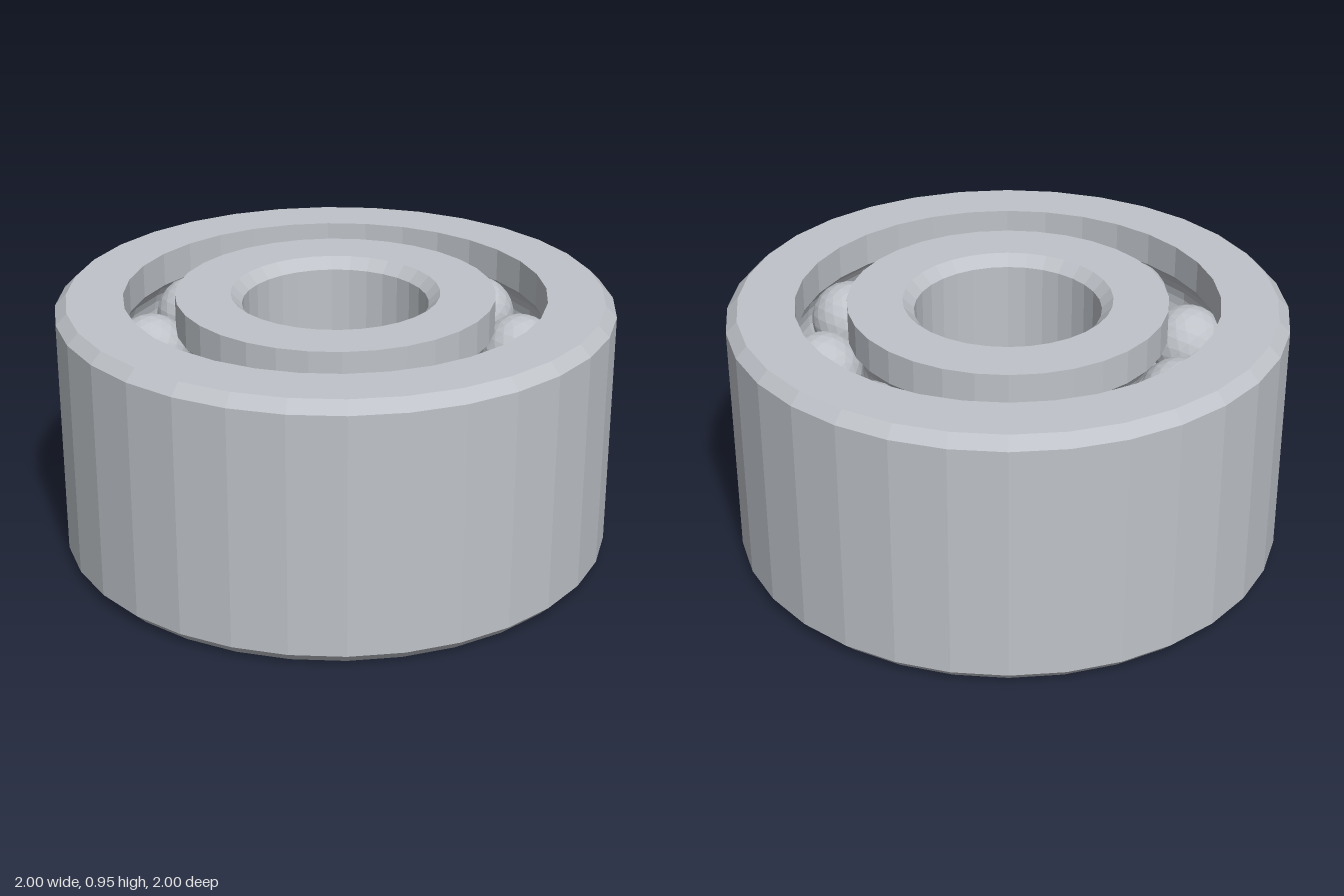
import * as THREE from 'three';

const HEIGHT = 0.95, CHAMFER = 0.04, SIDES = 32;
const BALL_R = 0.14, PITCH_R = 0.665, BALLS = 10;
const ROWS = [0.235, 0.715]; // heights of the two ball rows

// Faceted look: every face gets its own normal
function faceted(geometry) {
  const g = geometry.index ? geometry.toNonIndexed() : geometry;
  g.computeVertexNormals();
  return g;
}

// Raceway wall at radius r, bottom to top, with a round groove at each ball row
function raceway(r) {
  const side = Math.sign(r - PITCH_R);
  const grooveR = BALL_R + 0.004;
  const half = Math.acos(Math.abs(r - PITCH_R) / grooveR);
  const points = [[r, 0]];
  for (const y of ROWS) {
    for (let i = 0; i <= 8; i++) {
      const a = -half + (2 * half * i) / 8;
      points.push([PITCH_R + side * grooveR * Math.cos(a), y + grooveR * Math.sin(a)]);
    }
  }
  points.push([r, HEIGHT]);
  return points;
}

// Closed profile, counter-clockwise, turned around the axis
function turned(name, profile, material) {
  const points = [...profile, profile[0]].map(([r, y]) => new THREE.Vector2(r, y));
  const mesh = new THREE.Mesh(faceted(new THREE.LatheGeometry(points, SIDES)), material);
  mesh.name = name;
  return mesh;
}

export function createModel() {
  const group = new THREE.Group();
  group.name = 'ballBearing';
  const steel = new THREE.MeshStandardMaterial({ color: 0xbfc3c9 });
  steel.name = 'steel';

  // Outer ring: chamfered outside, grooved inside
  group.add(turned('outerRing', [
    [1 - CHAMFER, 0], [1, CHAMFER], [1, HEIGHT - CHAMFER], [1 - CHAMFER, HEIGHT],
    ...raceway(0.757).reverse(),
  ], steel));

  // Inner ring: grooved outside, chamfered bore
  const bore = 0.335;
  group.add(turned('innerRing', [
    ...raceway(0.573),
    [bore + CHAMFER, HEIGHT], [bore, HEIGHT - CHAMFER], [bore, CHAMFER], [bore + CHAMFER, 0],
  ], steel));

  // Two aligned rows of balls
  const ballGeometry = faceted(new THREE.IcosahedronGeometry(BALL_R, 3));
  ROWS.forEach((y, row) => {
    const ballRow = new THREE.Group();
    ballRow.name = row ? 'upperBallRow' : 'lowerBallRow';
    for (let i = 0; i < BALLS; i++) {
      const a = (i / BALLS) * Math.PI * 2;
      const ball = new THREE.Mesh(ballGeometry, steel);
      ball.name = 'ball';
      ball.position.set(PITCH_R * Math.cos(a), y, PITCH_R * Math.sin(a));
      ballRow.add(ball);
    }
    group.add(ballRow);
  });

  return group;
}
